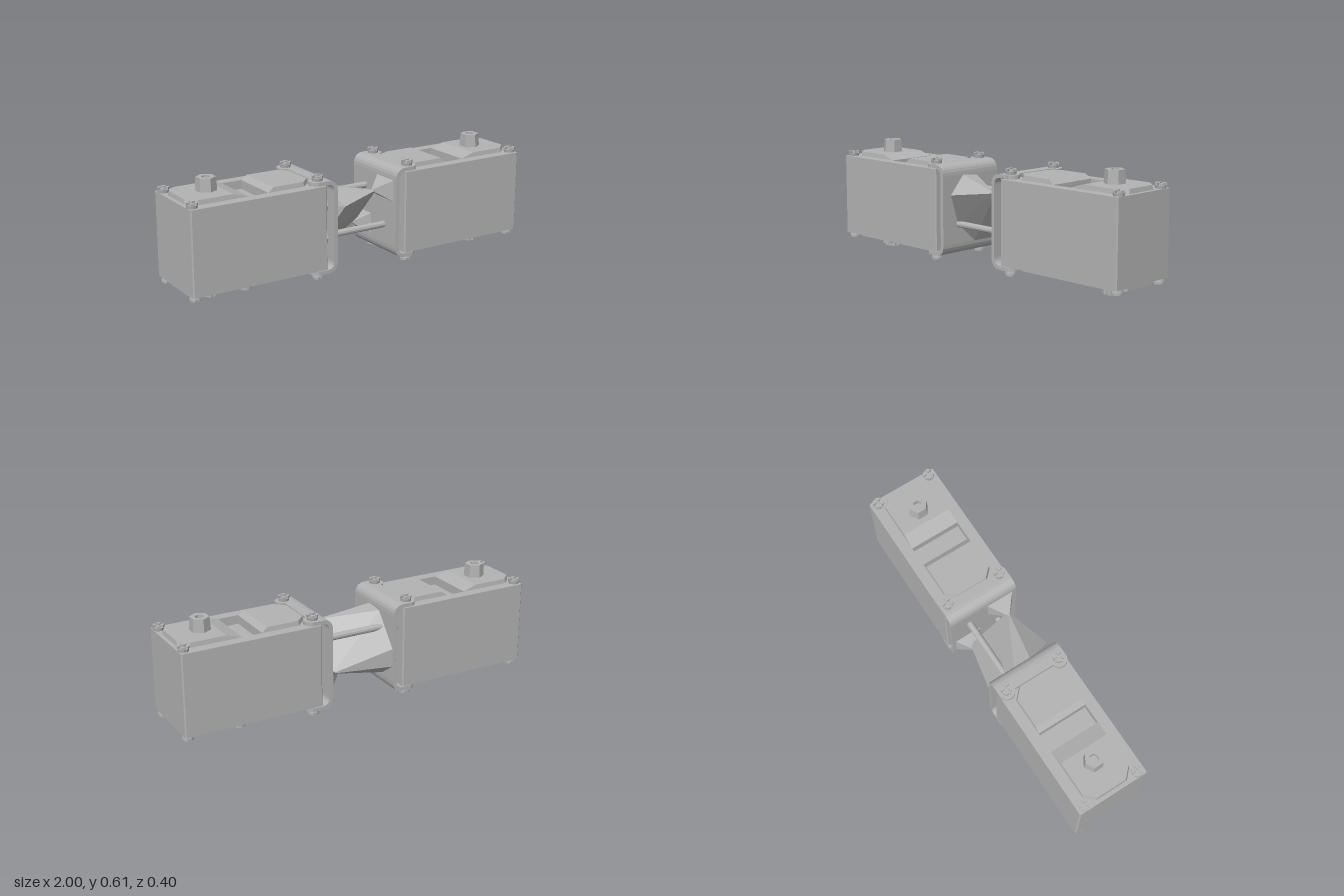
import * as THREE from 'three';
import { ConvexGeometry } from 'three/addons/geometries/ConvexGeometry.js';

const grey = new THREE.MeshStandardMaterial({ color: 0xb2b2b2, flatShading: true });
grey.name = 'grey metal';

function add(parent, name, geometry, x = 0, y = 0, z = 0) {
  const mesh = new THREE.Mesh(geometry, grey);
  mesh.name = name;
  mesh.position.set(x, y, z);
  parent.add(mesh);
  return mesh;
}

// Rectangle in plan (x, z) with cut corners
function plan(x0, x1, w, c) {
  return new THREE.Shape([
    [x0 + c, -w], [x1 - c, -w], [x1, -w + c], [x1, w - c],
    [x1 - c, w], [x0 + c, w], [x0, w - c], [x0, -w + c],
  ].map(p => new THREE.Vector2(...p)));
}

// Upright slab from a plan shape
function slab(shape, y0, y1) {
  const g = new THREE.ExtrudeGeometry(shape, { depth: y1 - y0, bevelEnabled: false, curveSegments: 12 });
  return g.rotateX(Math.PI / 2).translate(0, y1, 0);
}

function lathe(points, sides) {
  return new THREE.LatheGeometry(points.map(p => new THREE.Vector2(...p)), sides);
}

// Pan-head screw with a cross slot; the base sits at y = 0
function screw(parent, x, y, z, down) {
  const g = new THREE.Group();
  g.name = 'screw';
  add(g, 'screwBase', new THREE.CylinderGeometry(0.03, 0.027, 0.016, 12), 0, 0.008, 0);
  const quarter = new THREE.Shape();
  quarter.moveTo(0.006, 0.006);
  quarter.lineTo(0.028, 0.006);
  quarter.lineTo(0.021, 0.021);
  quarter.lineTo(0.006, 0.028);
  for (let i = 0; i < 4; i++) {
    add(g, 'screwQuarter', slab(quarter, 0.015, 0.028)).rotation.y = i * Math.PI / 2;
  }
  g.position.set(x, y, z);
  if (down) g.rotation.x = Math.PI;
  g.rotation.y = 0.3;
  parent.add(g);
}

// U-shaped bracket profile in x, y
function bracketShape() {
  const x = 0.18, e = 0.29, b = 0.053, t = 0.543, r = 0.06, w = 0.02;
  const s = new THREE.Shape();
  s.moveTo(e, b);
  s.lineTo(e, b + w);
  s.lineTo(x + r, b + w);
  s.quadraticCurveTo(x + w, b + w, x + w, b + r);
  s.lineTo(x + w, t - r);
  s.quadraticCurveTo(x + w, t - w, x + r, t - w);
  s.lineTo(e, t - w);
  s.lineTo(e, t);
  s.lineTo(x + r, t);
  s.quadraticCurveTo(x, t, x, t - r);
  s.lineTo(x, b + r);
  s.quadraticCurveTo(x, b, x + r, b);
  return s;
}

function createServo() {
  const servo = new THREE.Group();

  // Body with a pocket in its upper part
  add(servo, 'body', slab(plan(0.24, 0.998, 0.198, 0.006), 0.075, 0.47));
  const rim = plan(0.24, 0.998, 0.198, 0.006);
  rim.holes.push(plan(0.545, 0.655, 0.14, 0));
  add(servo, 'bodyRim', slab(rim, 0.47, 0.517));

  // Raised lid halves on either side of the pocket, sloping at the inner edges
  const lid = (x0, x1, slope0, slope1) => {
    const pts = [];
    const cut = 0.05;
    const c0 = slope0 ? 0 : cut, c1 = slope1 ? 0 : cut;
    for (const s of [-1, 1]) {
      for (const [y, dx0, dx1] of [[0.51, 0, 0], [0.517, 0, 0], [0.541, slope0 || 0.004, slope1 || 0.004]]) {
        const w = y > 0.53 ? 0.136 : 0.14;
        pts.push([x0 + c0 + dx0, y, s * w], [x1 - c1 - dx1, y, s * w]);
        pts.push([x0 + dx0, y, s * (w - c0)], [x1 - dx1, y, s * (w - c1)]);
      }
    }
    return new ConvexGeometry(pts.map(p => new THREE.Vector3(...p)));
  };
  add(servo, 'innerLid', lid(0.29, 0.545, 0, 0.03));
  add(servo, 'outerLid', lid(0.655, 0.978, 0.08, 0));

  // Bottom lid with a round well for the lower spline
  const base = plan(0.29, 0.978, 0.14, 0.05);
  const well = new THREE.Path();
  well.absarc(0.815, 0, 0.085, 0, Math.PI * 2);
  base.holes.push(well);
  add(servo, 'bottomLid', slab(base, 0.053, 0.076));
  add(servo, 'bottomNub', new THREE.CylinderGeometry(0.03, 0.03, 0.025, 12), 0.69, 0.064, -0.15);

  // Upper hexagonal shaft with a socket
  add(servo, 'upperShaft', lathe([[0.056, 0.515], [0.05, 0.61], [0.024, 0.61], [0.024, 0.58], [0, 0.58]], 6), 0.815);
  // Lower splined shaft with a socket
  const spline = new THREE.Shape();
  for (let i = 0; i < 40; i++) {
    const r = i % 4 < 2 ? 0.051 : 0.046, a = i * Math.PI / 20;
    spline[i ? 'lineTo' : 'moveTo'](r * Math.cos(a), r * Math.sin(a));
  }
  const socket = new THREE.Path();
  socket.absarc(0, 0, 0.024, 0, Math.PI * 2);
  spline.holes.push(socket);
  add(servo, 'lowerShaft', slab(spline, 0, 0.076), 0.815);
  add(servo, 'lowerShaftCore', new THREE.CylinderGeometry(0.025, 0.025, 0.05, 12), 0.815, 0.045, 0);

  // Bracket, its rounded tabs and all screws
  const bracket = new THREE.ExtrudeGeometry(bracketShape(), { depth: 0.4, bevelEnabled: false, curveSegments: 6 });
  add(servo, 'bracket', bracket, 0, 0, -0.2);
  for (const s of [-1, 1]) {
    const z = s * 0.157;
    for (const y of [0.063, 0.533]) {
      add(servo, 'bracketTab', new THREE.CylinderGeometry(0.043, 0.043, 0.02, 16), 0.28, y, z);
    }
    screw(servo, 0.275, 0.543, z, false);
    screw(servo, 0.97, 0.516, z, false);
    screw(servo, 0.275, 0.053, z, true);
    screw(servo, 0.97, 0.076, z, true);
  }
  return servo;
}

// Rod or bolt head lying along x
function bar(parent, name, x0, x1, r, y, z, sides) {
  const g = new THREE.CylinderGeometry(r, r, x1 - x0, sides).rotateZ(Math.PI / 2);
  add(parent, name, g, (x0 + x1) / 2, y, z);
}

export function createModel() {
  const model = new THREE.Group();
  model.name = 'twinServoJoint';

  // The second servo is the first turned half around
  for (const [name, turn] of [['leftServo', 0], ['rightServo', Math.PI]]) {
    const servo = createServo();
    servo.name = name;
    servo.rotation.y = turn;
    model.add(servo);
  }

  // Faceted coupling that narrows to two diagonal feet
  const hull = pts => new ConvexGeometry(pts.map(p => new THREE.Vector3(...p)));
  add(model, 'coupling', hull([
    [-0.183, 0.48, 0.05], [-0.183, 0.47, -0.05], [-0.13, 0.39, 0.19], [-0.183, 0.38, 0.1],
    [-0.183, 0.3, -0.19], [-0.183, 0.2, -0.19], [-0.15, 0.12, 0], [-0.183, 0.13, -0.09],
    [-0.183, 0.22, 0.09], [0.115, 0.42, 0.11], [0.14, 0.2, -0.115],
  ]));
  for (const [x, y, z] of [[0.09, 0.42, 0.1], [0.1, 0.19, -0.105]]) {
    const foot = [[x, y, z]];
    for (const sy of [-0.06, 0.06]) for (const sz of [-0.08, 0.08]) foot.push([0.185, y + sy, z + sz]);
    add(model, 'couplingFoot', hull(foot));
  }

  // Two tie rods on the other diagonal, and the bolt heads inside the brackets
  bar(model, 'tieRod', -0.185, 0.2, 0.018, 0.392, -0.087, 12);
  bar(model, 'tieRod', -0.185, 0.2, 0.018, 0.217, 0.087, 12);
  for (const z of [-0.087, 0.087]) {
    for (const y of [0.217, 0.392]) {
      bar(model, 'boltHead', 0.195, 0.225, 0.034, y, z, 8);
      bar(model, 'boltPad', -0.245, -0.195, 0.055, y, z, 8);
    }
  }
  return model;
}
